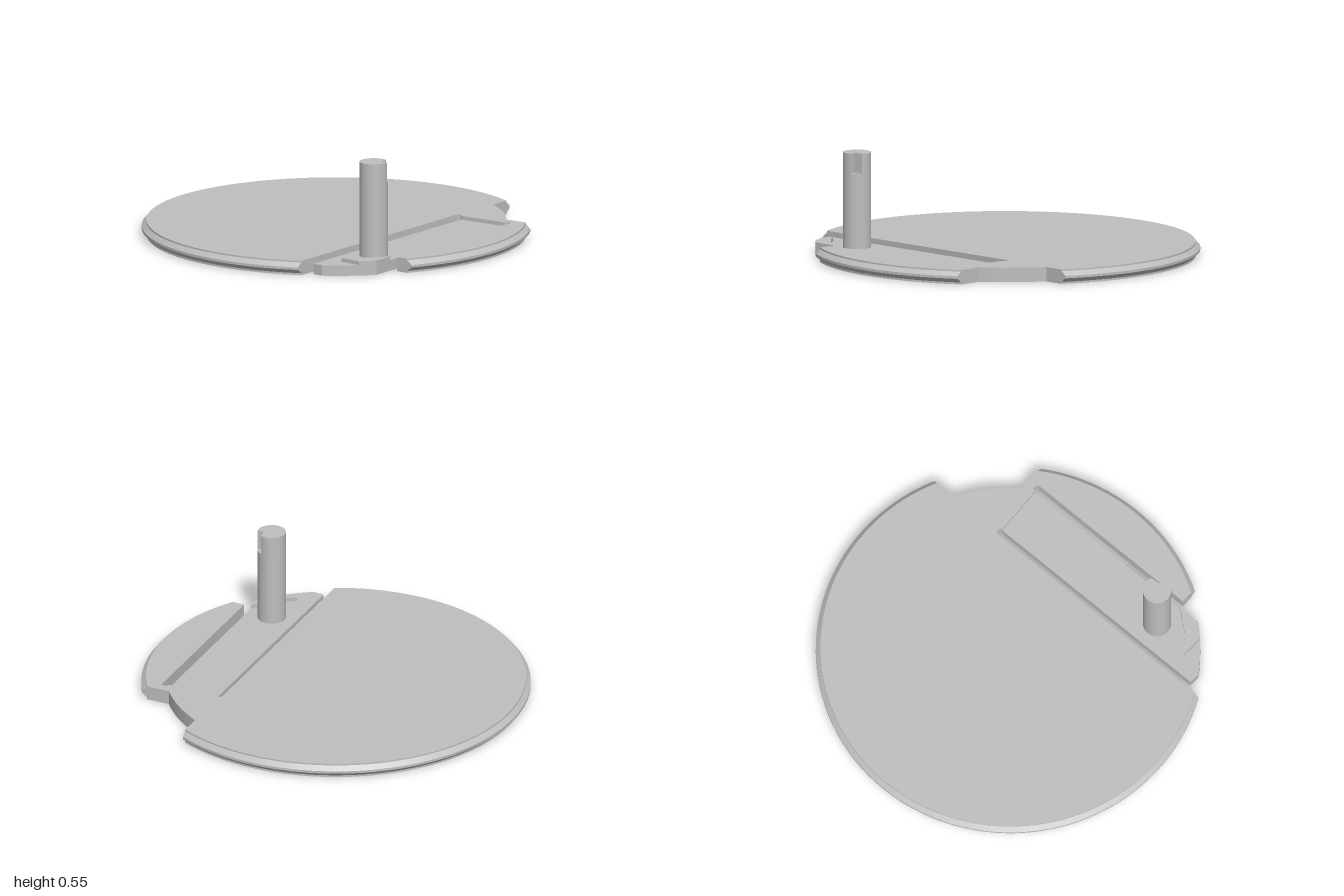
import * as THREE from 'three';
import { toCreasedNormals } from 'three/addons/utils/BufferGeometryUtils.js';

const V = (x, z) => new THREE.Vector2(x, z);

// Points on an arc in plan (x, z), from angle a to angle b, ends included
function arc(cx, cz, r, a, b, n) {
  return Array.from({ length: n + 1 }, (_, i) => {
    const t = a + (b - a) * i / n;
    return V(cx + r * Math.cos(t), cz + r * Math.sin(t));
  });
}

// Where the line from p through q meets the circle of radius R about the centre
function hit(p, q, R) {
  const d = q.clone().sub(p).normalize();
  const b = p.dot(d);
  return p.clone().addScaledVector(d, -b + Math.sqrt(b * b - p.lengthSq() + R * R));
}

// Arc about the centre joining two points
function rim(p, q, n) {
  const a = Math.atan2(p.y, p.x);
  let b = Math.atan2(q.y, q.x);
  if (b < a) b += Math.PI * 2;
  return arc(0, 0, p.length(), a, b, n);
}

// Round slit end between its two sides, bulging to the back
function slitEnd(p, q) {
  const c = p.clone().add(q).multiplyScalar(0.5);
  const a = Math.atan2(p.y - c.y, p.x - c.x);
  return arc(c.x, c.y, p.distanceTo(q) / 2, a, a - Math.PI, 8);
}

// Solid through stacked plan outlines, capped at both ends
function loft(layers) {
  const pos = [];
  const put = (p, y) => pos.push(p.x, y, p.y);
  const n = layers[0].pts.length;
  for (let k = 0; k < layers.length - 1; k++) {
    const lo = layers[k], hi = layers[k + 1];
    for (let i = 0; i < n; i++) {
      const j = (i + 1) % n;
      put(lo.pts[i], lo.y); put(hi.pts[i], hi.y); put(hi.pts[j], hi.y);
      put(lo.pts[i], lo.y); put(hi.pts[j], hi.y); put(lo.pts[j], lo.y);
    }
  }
  const cap = (layer, up) => {
    for (const [a, b, c] of THREE.ShapeUtils.triangulateShape(layer.pts, [])) {
      for (const i of up ? [a, c, b] : [a, b, c]) put(layer.pts[i], layer.y);
    }
  };
  cap(layers[0], false);
  cap(layers[layers.length - 1], true);
  const g = new THREE.BufferGeometry();
  g.setAttribute('position', new THREE.Float32BufferAttribute(pos, 3));
  return toCreasedNormals(g, 0.35);
}

const prism = (pts, y0, y1) => loft([{ y: y0, pts }, { y: y1, pts }]);

// Slit corners: outer and inner sides of the right-hand and left-hand slits
const slitA = [V(0.808, -0.385), V(0.773, -0.388)];
const slitB = [V(0.505, -0.405), V(0.47, -0.408)];

// Disc outline with the edge notch and the tongue opening, at rim radius R
function discOutline(R) {
  const notchFront = V(0.75, -0.455), notchBack = V(0.51, -0.71), lip = V(0.715, 0.58);
  return [
    ...rim(hit(notchFront, V(0.895, -0.44), R), hit(lip, V(0.79, 0.588), R), 30),
    lip,
    ...slitEnd(...slitA),
    ...slitEnd(...slitB),
    ...rim(hit(slitB[1], V(0.34, 0.94), R), hit(notchBack, V(0.525, -0.845), R), 110),
    ...rim(notchBack, notchFront, 12),
  ];
}

export function createModel() {
  const group = new THREE.Group();
  const grey = new THREE.MeshStandardMaterial({ color: 0xbebebe });
  grey.name = 'grey';
  const add = (name, geometry) => {
    const m = new THREE.Mesh(geometry, grey);
    m.name = name;
    group.add(m);
    return m;
  };

  // Disc with a ridged rim
  const profile = [[0, 0.976], [0.01, 0.976], [0.032, 1], [0.045, 1], [0.067, 0.976], [0.075, 0.976]];
  add('disc', loft(profile.map(([y, R]) => ({ y, pts: discOutline(R) }))));

  // Thinner spring tongue between the slits
  add('tongue', prism([
    slitA[1],
    V(0.678, 0.6),
    ...rim(V(0.669, 0.709), V(0.44, 0.87), 12),
    V(0.383, 0.86),
    slitB[0],
  ], 0, 0.055));

  // Raised catch at the tongue tip
  add('catch', prism([
    V(0.679, 0.585),
    ...rim(V(0.669, 0.709), V(0.6, 0.769), 5),
    V(0.485, 0.75),
    V(0.535, 0.72),
    V(0.585, 0.68),
    V(0.635, 0.633),
  ], 0.05, 0.075));

  // Upright post with a keyway cut into its top
  const cx = 0.548, cz = 0.535, r = 0.073, kx = 0.036, kz = -0.013;
  const post = new THREE.CylinderGeometry(r, r, 0.395, 48, 1);
  add('post', post).position.set(cx, 0.2475, cz);
  const a0 = Math.asin(kz / r), a1 = -Math.acos(kx / r);
  add('postTop', prism([
    ...arc(cx, cz, r, a0, a1 + Math.PI * 2, 42),
    V(cx + kx, cz + kz),
  ], 0.445, 0.55));

  return group;
}
